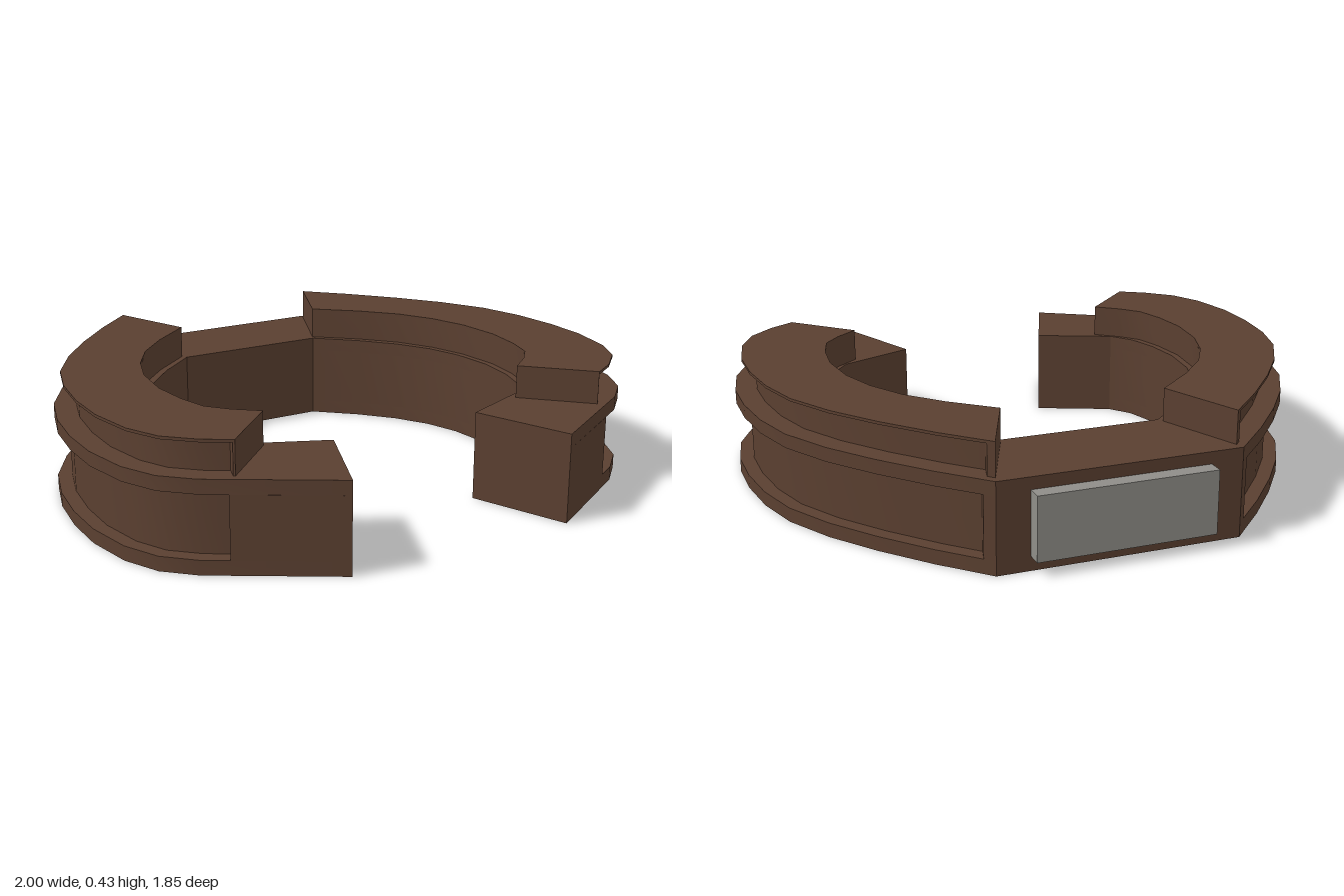
import * as THREE from 'three';
import { toCreasedNormals } from 'three/addons/utils/BufferGeometryUtils.js';

// Plan points are [x, z] on the +x side, running from back to front along the outside.
const OUTER = [[0.57, -0.72], [0.71, -0.56], [0.83, -0.4], [0.925, -0.23], [0.975, -0.06], [0.998, 0.12],
  [0.998, 0.29], [0.965, 0.465], [0.905, 0.59], [0.81, 0.68]];
const INNER = [[0.28, 0.58], [0.55, 0.465], [0.61, 0.385], [0.645, 0.27], [0.66, 0.13], [0.643, -0.03],
  [0.6, -0.16], [0.525, -0.285], [0.42, -0.405], [0.28, -0.53]];
const TOP_INNER = [[0.5, 0.515], [0.58, 0.45], [0.64, 0.38], [0.67, 0.27], [0.685, 0.13], [0.667, -0.035],
  [0.62, -0.175], [0.545, -0.305], [0.435, -0.425], [0.29, -0.55]];

// Moves an outside path inward by d
function inset(path, d) {
  return path.map(([x, z], i) => {
    const a = path[Math.max(i - 1, 0)], b = path[Math.min(i + 1, path.length - 1)];
    const tx = b[0] - a[0], tz = b[1] - a[1], l = Math.hypot(tx, tz);
    return [x - (tz / l) * d, z + (tx / l) * d];
  });
}

const mirror = (path) => path.map(([x, z]) => [-x, z]).reverse();

// Upright slab with the given plan, from y0 to y1
function slab(plan, y0, y1) {
  const shape = new THREE.Shape(plan.map(([x, z]) => new THREE.Vector2(x, -z)));
  const geo = new THREE.ExtrudeGeometry(shape, { depth: y1 - y0, bevelEnabled: false });
  geo.rotateX(-Math.PI / 2).translate(0, y0, 0);
  return toCreasedNormals(geo, 0.5);
}

export function createModel() {
  const group = new THREE.Group();
  const brown = new THREE.MeshStandardMaterial({ color: 0x5a3f30 });
  brown.name = 'brown';
  const grey = new THREE.MeshStandardMaterial({ color: 0x8f8d88 });
  grey.name = 'grey';

  const add = (name, geo, mat) => {
    const mesh = new THREE.Mesh(geo, mat);
    mesh.name = name;
    group.add(mesh);
  };

  // Lower body: two flanges around a grooved core
  const back = [0.42, -0.87], tip = [0.415, 0.92];
  const flangeSide = [back, ...OUTER, tip, ...INNER];
  const coreSide = [back, [0.45, -0.84], ...inset([[0.47, -0.82], ...OUTER, [0.73, 0.73]], 0.05),
    [0.73, 0.73], tip, ...INNER];
  const both = (side) => [...side, ...mirror(side)];
  add('lowerFlange', slab(both(flangeSide), 0, 0.05), brown);
  add('body', slab(both(coreSide), 0.05, 0.263), brown);
  add('upperFlange', slab(both(flangeSide), 0.263, 0.312), brown);

  // Raised arcs on both sides, each with a thin overhanging lip
  const lipPath = inset(OUTER, 0.028);
  const lipSide = [[0.41, -0.84], ...lipPath, [0.7, 0.715], ...TOP_INNER];
  const arcSide = [[0.41, -0.84], [0.43, -0.82], ...inset([[0.45, -0.8], ...lipPath, [0.715, 0.705]], 0.048),
    [0.705, 0.71], [0.7, 0.715], ...TOP_INNER];
  for (const [label, side] of [['left', (p) => p], ['right', mirror]]) {
    add(label + 'RaisedArc', slab(side(arcSide), 0.312, 0.418), brown);
    add(label + 'ArcLip', slab(side(lipSide), 0.418, 0.428), brown);
  }

  // Plate on the back
  const plate = new THREE.BoxGeometry(0.615, 0.22, 0.06);
  plate.translate(0, 0.16, -0.895);
  add('backPlate', plate, grey);

  return group;
}
